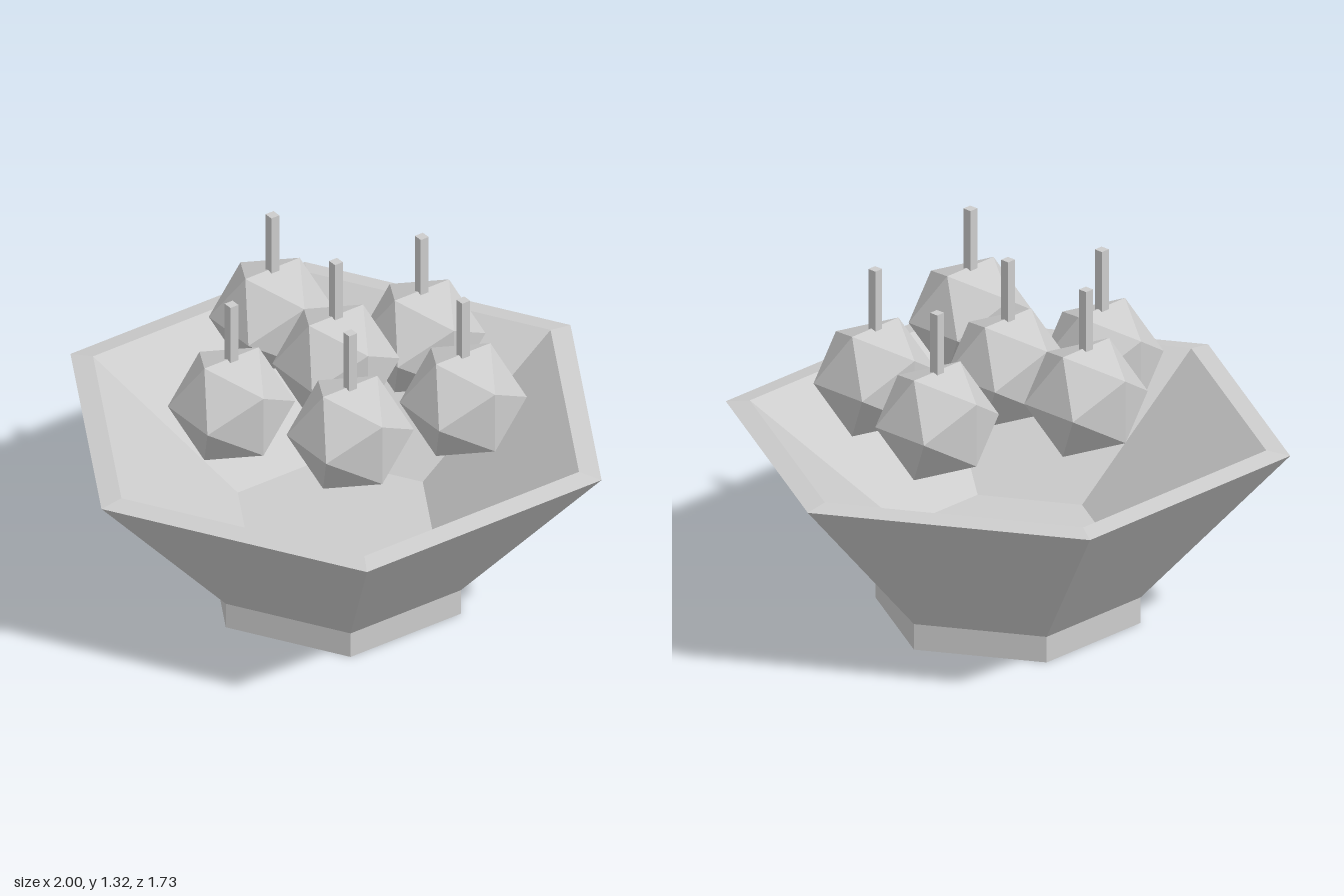
import * as THREE from 'three';

const grey = new THREE.MeshStandardMaterial({ color: 0xcccccc });
grey.name = 'light grey';

// Faceted mesh: unshared corners give each face its own normal
function faceted(geometry, name) {
  const g = geometry.index ? geometry.toNonIndexed() : geometry;
  g.computeVertexNormals();
  const mesh = new THREE.Mesh(g, grey);
  mesh.name = name;
  return mesh;
}

// Six-sided solid from a profile, with corners on the x axis
function hexLathe(profile, name) {
  const points = profile.map(([r, y]) => new THREE.Vector2(r, y));
  return faceted(new THREE.LatheGeometry(points, 6, Math.PI / 2), name);
}

// Faceted fruit with a square stem
function makeFruit(x, y, z) {
  const fruit = new THREE.Group();
  fruit.name = 'fruit';
  const stem = faceted(new THREE.BoxGeometry(0.034, 0.31, 0.034), 'stem');
  stem.position.y = 0.251;
  fruit.add(faceted(new THREE.IcosahedronGeometry(0.22, 0), 'fruitBody'), stem);
  fruit.position.set(x, y, z);
  return fruit;
}

export function createModel() {
  const model = new THREE.Group();
  model.name = 'fruitBowl';

  // Foot, closed underneath
  model.add(hexLathe([[0, 0], [0.47, 0], [0.47, 0.096]], 'foot'));

  // Outer wall, slightly raised rim, inner wall and floor
  model.add(hexLathe(
    [[0.47, 0.096], [1, 0.682], [0.915, 0.694], [0.37, 0.278], [0, 0.278]], 'bowl'));

  // Three upper and three lower fruits
  const high = 0.911, low = 0.847;
  const places = [
    [0, high, 0], [0, high, -0.371], [-0.23, high, 0.398],
    [-0.393, low, -0.072], [0.393, low, -0.037], [0.267, low, 0.377],
  ];
  for (const [x, y, z] of places) model.add(makeFruit(x, y, z));
  return model;
}
